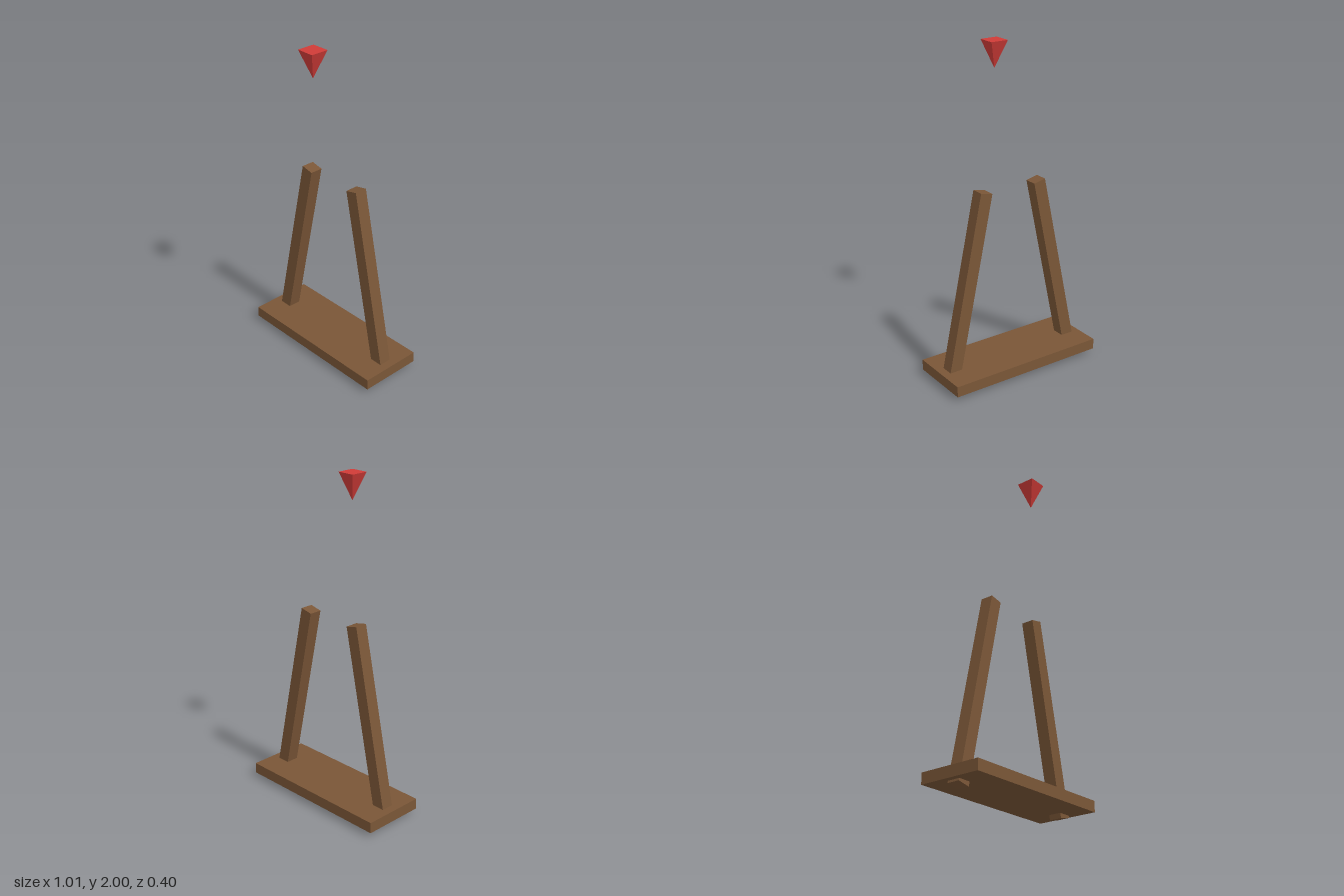
import * as THREE from 'three';

export function createModel() {
  const model = new THREE.Group();
  model.name = 'swingFrame';

  const wood = new THREE.MeshStandardMaterial({ color: 0x7a5637 });
  wood.name = 'brown wood';
  const red = new THREE.MeshStandardMaterial({ color: 0xcf3b37 });
  red.name = 'marker red';

  const add = (name, geometry, material, x, y, z) => {
    const mesh = new THREE.Mesh(geometry, material);
    mesh.name = name;
    mesh.position.set(x, y, z);
    model.add(mesh);
    return mesh;
  };

  // Flat base board
  add('base', new THREE.BoxGeometry(1.014, 0.067, 0.394), wood, 0, 0.063, -0.006);

  // Two posts leaning towards each other, poking through the base
  const postGeometry = new THREE.BoxGeometry(0.079, 1.19, 0.079);
  for (const side of [-1, 1]) {
    const post = add(side > 0 ? 'leftPost' : 'rightPost', postGeometry, wood, side * 0.311, 0.59, -0.007);
    post.rotation.z = side * THREE.MathUtils.degToRad(12);
  }

  // Floating square pyramid, point down
  const pyramid = new THREE.ConeGeometry(0.111 / Math.SQRT2, 0.163, 4).toNonIndexed();
  pyramid.rotateY(Math.PI / 4);
  pyramid.rotateX(Math.PI);
  pyramid.computeVertexNormals();
  add('marker', pyramid, red, 0, 2 - 0.163 / 2, 0.145);

  return model;
}
